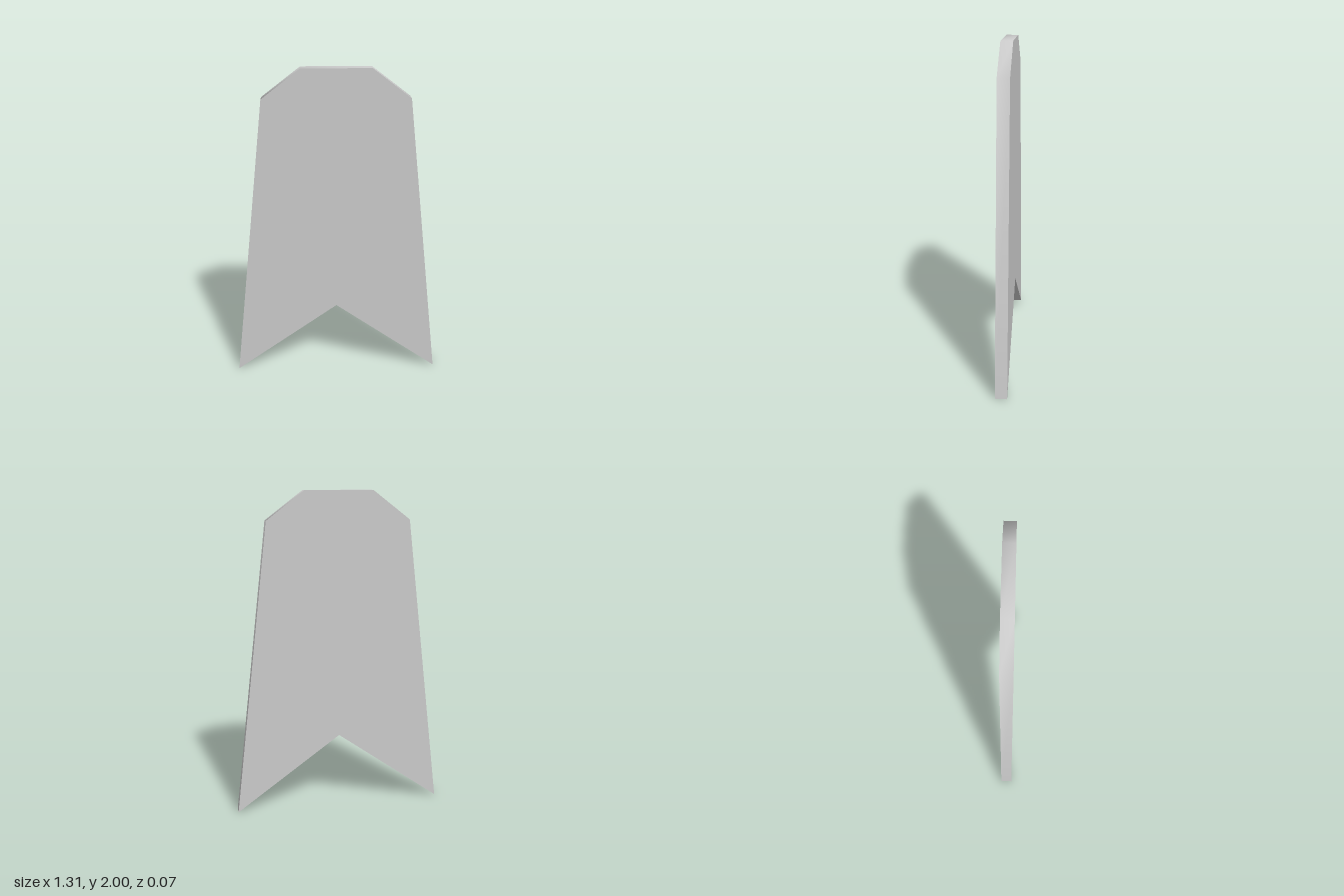
import * as THREE from 'three';
import { toCreasedNormals } from 'three/addons/utils/BufferGeometryUtils.js';

export function createModel() {
  const group = new THREE.Group();
  group.name = 'notchedPlate';

  // Right half of the outline, from the notch up to the top edge
  const half = [[0.655, 0], [0.437, 1.825], [0.207, 2]];
  const mirrored = half.map(([x, y]) => [-x, y]).reverse();
  const outline = [[0, 0.473], ...half, ...mirrored].map(([x, y]) => new THREE.Vector2(x, y));

  // Thin flat plate, centred on z, with the rim shaded smoothly round the top corners
  const depth = 0.072;
  const geometry = new THREE.ExtrudeGeometry(new THREE.Shape(outline), { depth, bevelEnabled: false });
  geometry.translate(0, 0, -depth / 2);

  const plate = new THREE.Mesh(
    toCreasedNormals(geometry, Math.PI / 3),
    new THREE.MeshStandardMaterial({ color: 0xcccccc })
  );
  plate.name = 'plate';
  group.add(plate);
  return group;
}
